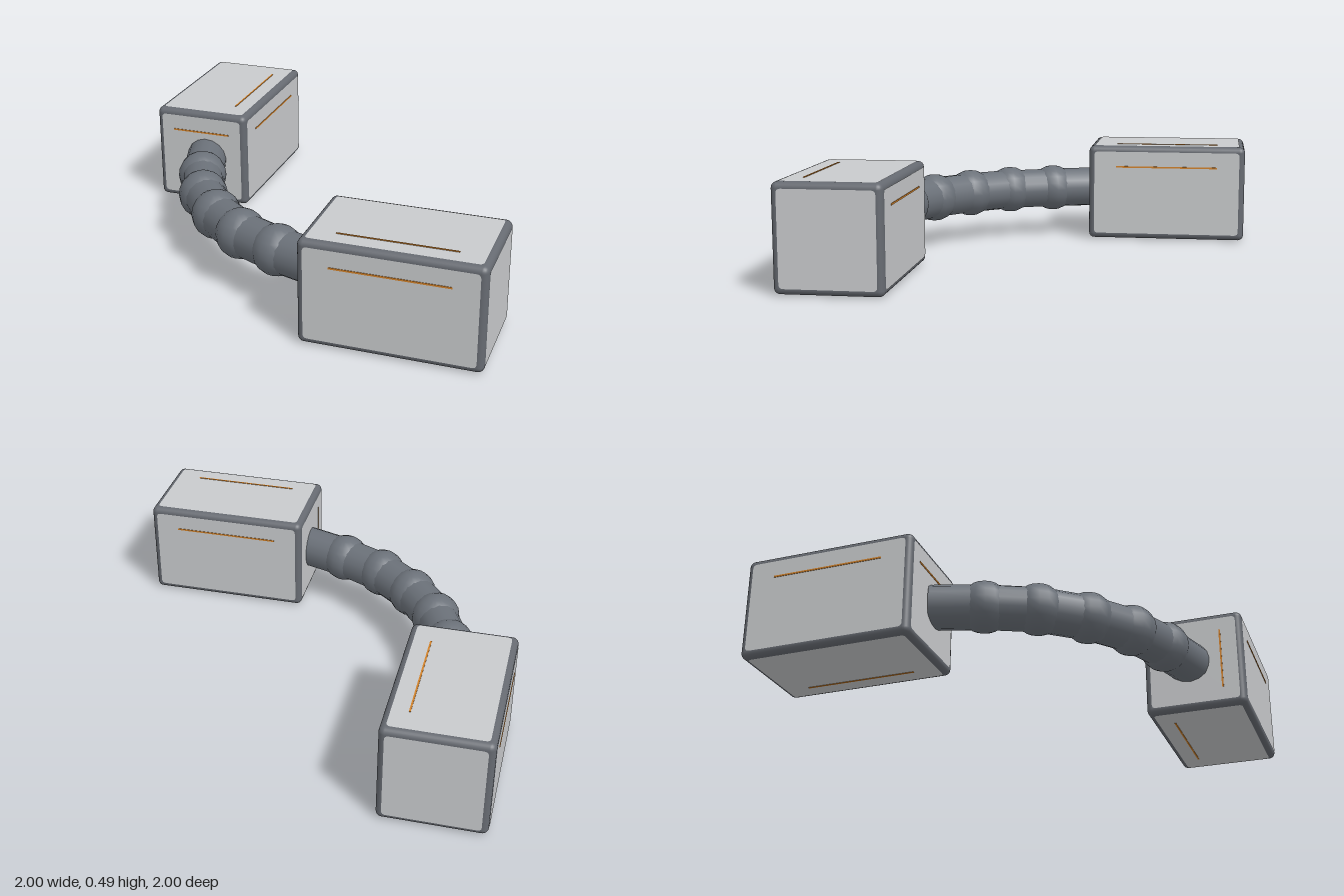
import * as THREE from 'three';
import { RoundedBoxGeometry } from 'three/addons/geometries/RoundedBoxGeometry.js';

const material = (name, color) => {
  const m = new THREE.MeshStandardMaterial({ color });
  m.name = name;
  return m;
};

const LONG = 0.8, SHORT = 0.483, EDGE = 0.028;
const X = new THREE.Vector3(1, 0, 0);
const Y = new THREE.Vector3(0, 1, 0);
const Z = new THREE.Vector3(0, 0, 1);

function roundedRect(w, h, r) {
  const s = new THREE.Shape(), a = w / 2, b = h / 2;
  s.moveTo(-a + r, -b);
  s.lineTo(a - r, -b).quadraticCurveTo(a, -b, a, -b + r);
  s.lineTo(a, b - r).quadraticCurveTo(a, b, a - r, b);
  s.lineTo(-a + r, b).quadraticCurveTo(-a, b, -a, b - r);
  s.lineTo(-a, -b + r).quadraticCurveTo(-a, -b, -a + r, -b);
  return new THREE.ShapeGeometry(s, 4);
}

export function createModel() {
  const panelMat = material('light grey panel', 0xc8cacc);
  const frameMat = material('dark grey frame', 0x666a71);
  const hoseMat = material('slate tube', 0x6b7179);
  const stripMat = material('orange strip', 0xd2822a);
  const model = new THREE.Group();
  model.name = 'connectedModules';

  const add = (parent, name, geometry, mat) => {
    const mesh = new THREE.Mesh(geometry, mat);
    mesh.name = name;
    parent.add(mesh);
    return mesh;
  };

  // One face: a panel plate and, if wanted, a thin strip shifted towards "up"
  function addFace(box, size, normal, up, hasStrip) {
    const side = new THREE.Vector3().crossVectors(up, normal);
    const extent = (v) => Math.abs(size.dot(v));
    const w = extent(side) - 2 * EDGE, h = extent(up) - 2 * EDGE;
    const face = new THREE.Group();
    face.name = 'face';
    face.matrix.makeBasis(side, up, normal);
    face.quaternion.setFromRotationMatrix(face.matrix);
    face.position.copy(normal).multiplyScalar(extent(normal) / 2 + 0.0015);
    box.add(face);
    add(face, 'panel', roundedRect(w, h, 0.02), panelMat);
    if (hasStrip) {
      const length = extent(side) > 0.6 ? 0.52 : 0.3;
      add(face, 'strip', new THREE.BoxGeometry(length, 0.008, 0.005), stripMat).position.y = 0.135;
    }
  }

  // Rounded frame with six faces, each given as [normal, up, strip]
  function addBox(name, size, position, faces) {
    const box = new THREE.Group();
    box.name = name;
    box.position.copy(position);
    model.add(box);
    add(box, 'frame', new RoundedBoxGeometry(size.x, size.y, size.z, 3, EDGE), frameMat);
    for (const [normal, up, strip] of faces) addFace(box, size, normal, up, strip);
  }

  const neg = (v) => v.clone().negate();
  addBox('rearModule', new THREE.Vector3(SHORT, SHORT, LONG), new THREE.Vector3(-0.755, 0.25, -0.598), [
    [X, Y, true], [neg(X), Y, true], [Y, X, true], [neg(Y), X, true],
    [Z, Y, true], [neg(Z), Y, false],
  ]);
  addBox('frontModule', new THREE.Vector3(LONG, SHORT, SHORT), new THREE.Vector3(0.598, 0.25, 0.752), [
    [Z, Y, true], [neg(Z), Y, true], [Y, Z, true], [neg(Y), neg(Z), true],
    [neg(X), Z, true], [X, Y, false],
  ]);

  // Bent tunnel: straight tubes joined by ball joints, symmetric about the diagonal
  const half = [[-0.735, -0.22], [-0.66, 0.01], [-0.56, 0.225], [-0.41, 0.41]];
  const mirrored = half.slice(0, 3).reverse().map(([x, z]) => [-z, -x]);
  const path = [...half, ...mirrored].map(([x, z]) => new THREE.Vector3(x, 0.25, z));
  const tunnel = new THREE.Group();
  tunnel.name = 'tunnel';
  model.add(tunnel);
  path.forEach((p, i) => {
    if (i > 0) {
      const dir = new THREE.Vector3().subVectors(p, path[i - 1]);
      const tube = add(tunnel, 'tube', new THREE.CylinderGeometry(0.101, 0.101, dir.length(), 16), hoseMat);
      tube.position.addVectors(p, path[i - 1]).multiplyScalar(0.5);
      tube.quaternion.setFromUnitVectors(Y, dir.normalize());
    }
    if (i > 0 && i < path.length - 1) {
      add(tunnel, 'joint', new THREE.SphereGeometry(0.118, 16, 10), hoseMat).position.copy(p);
    }
  });

  return model;
}
